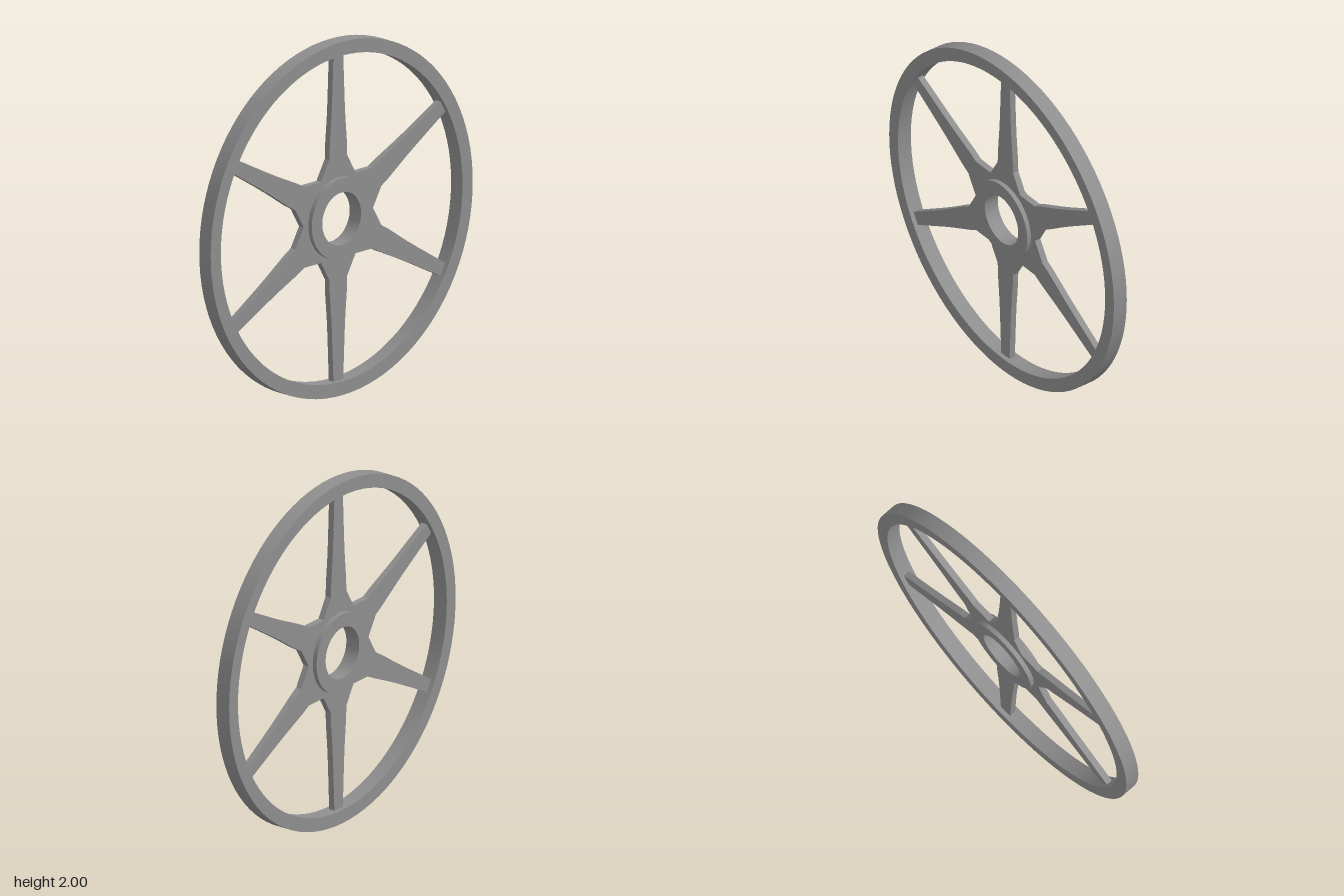
import * as THREE from 'three';
import { toCreasedNormals } from 'three/addons/utils/BufferGeometryUtils.js';

const material = new THREE.MeshStandardMaterial({ color: 0x8f8f8f });

// Ring of rectangular section around the z axis
function ring(name, outer, inner, depth) {
  const h = depth / 2;
  const profile = [[outer, -h], [outer, h], [inner, h], [inner, -h], [outer, -h]]
    .map(([r, y]) => new THREE.Vector2(r, y));
  const geometry = new THREE.LatheGeometry(profile, 96).rotateX(Math.PI / 2);
  const mesh = new THREE.Mesh(toCreasedNormals(geometry, 0.6), material);
  mesh.name = name;
  return mesh;
}

// Flat six-armed plate: one tapered arm outline repeated around the centre
function spokePlate(count, depth) {
  const halfArm = [[0.068, 0.34], [0.067, 0.4], [0.053, 0.57], [0.048, 0.66], [0.037, 0.93]];
  const arm = [...halfArm, ...halfArm.map(([x, y]) => [-x, y]).reverse()];
  const step = (Math.PI * 2) / count;
  const center = new THREE.Vector2();
  const points = [];
  for (let i = 0; i < count; i++) {
    // Valley between two arms, then the arm itself
    points.push(new THREE.Vector2(0, 0.264).rotateAround(center, (i - 0.5) * step));
    for (const [x, y] of arm) {
      points.push(new THREE.Vector2(x, y).rotateAround(center, i * step));
    }
  }
  const shape = new THREE.Shape(points);
  shape.holes.push(new THREE.Path().absarc(0, 0, 0.19, 0, Math.PI * 2, true));
  const geometry = new THREE.ExtrudeGeometry(shape, { depth, bevelEnabled: false, curveSegments: 32 });
  geometry.translate(0, 0, -depth / 2);
  const mesh = new THREE.Mesh(geometry, material);
  mesh.name = 'spokes';
  return mesh;
}

export function createModel() {
  const wheel = new THREE.Group();
  wheel.name = 'wheel';
  wheel.add(
    ring('rim', 1, 0.922, 0.088),
    ring('hub', 0.228, 0.148, 0.088),
    spokePlate(6, 0.036),
  );
  wheel.position.y = 1;

  const model = new THREE.Group();
  model.name = 'spokedWheel';
  model.add(wheel);
  return model;
}
